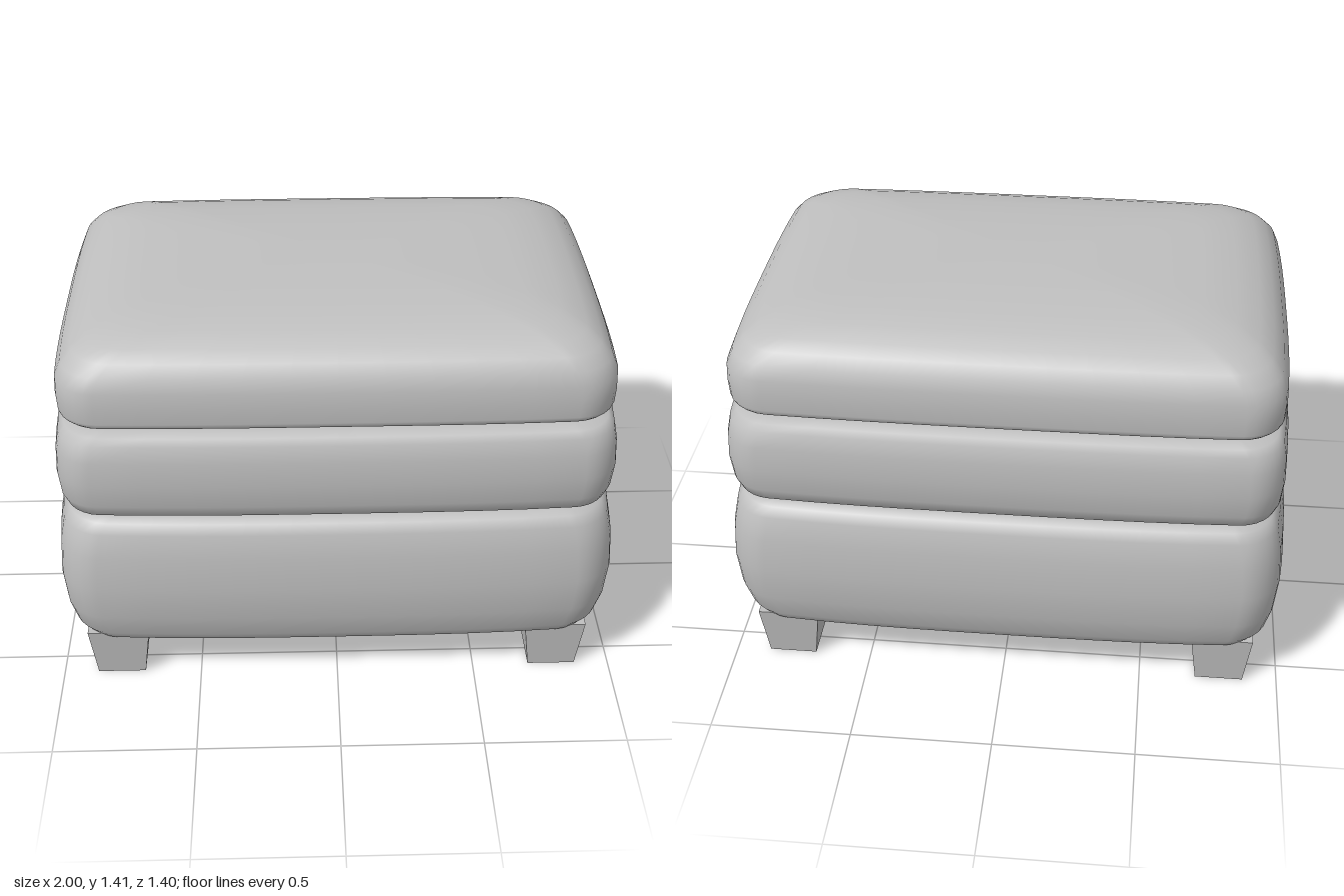
import * as THREE from 'three';

const upholstery = new THREE.MeshStandardMaterial({ color: 0xbfbfbf });
upholstery.name = 'grey upholstery';

// Rounded rectangle in plan whose sides bow outward; returns [x, z] pairs.
function cushionOutline(hx, hz, radius, bow) {
  const r = Math.min(radius, hx * 0.3, hz * 0.3);
  const points = [];
  const arc = 6, side = 10;
  const corners = [[1, 1], [-1, 1], [-1, -1], [1, -1]];
  corners.forEach(([sx, sz], q) => {
    const cx = sx * (hx - r), cz = sz * (hz - r);
    for (let i = 0; i <= arc; i++) {
      const a = (q + i / arc) * Math.PI / 2;
      points.push([cx + r * Math.cos(a), cz + r * Math.sin(a)]);
    }
    // straight run to the start of the next corner
    const [nx, nz] = corners[(q + 1) % 4];
    const [px, pz] = points[points.length - 1];
    const a = (q + 1) * Math.PI / 2;
    const ex = nx * (hx - r) + r * Math.cos(a), ez = nz * (hz - r) + r * Math.sin(a);
    for (let i = 1; i < side; i++) {
      points.push([px + (ex - px) * i / side, pz + (ez - pz) * i / side]);
    }
  });
  return points.map(([x, z]) => [
    x * (1 - bow * Math.abs(z / hz) ** 3),
    z * (1 - bow * Math.abs(x / hx) ** 3),
  ]);
}

// Skin a cushion through horizontal rings of [y, half width, half depth].
function cushion(name, rings, radius, bow) {
  const positions = [], index = [];
  let n = 0;
  for (const [y, hx, hz] of rings) {
    const outline = cushionOutline(hx, hz, radius, bow);
    n = outline.length;
    for (const [x, z] of outline) positions.push(x, y, z);
  }
  for (let i = 0; i < rings.length - 1; i++) {
    for (let j = 0; j < n; j++) {
      const a = i * n + j, b = i * n + (j + 1) % n;
      index.push(a, a + n, b, b, a + n, b + n);
    }
  }
  // close the bottom and the top
  const bottom = positions.length / 3, top = bottom + 1, last = (rings.length - 1) * n;
  positions.push(0, rings[0][0], 0, 0, rings[rings.length - 1][0], 0);
  for (let j = 0; j < n; j++) {
    const k = (j + 1) % n;
    index.push(bottom, j, k, top, last + k, last + j);
  }
  const geometry = new THREE.BufferGeometry();
  geometry.setAttribute('position', new THREE.Float32BufferAttribute(positions, 3));
  geometry.setIndex(index);
  geometry.computeVertexNormals();
  const mesh = new THREE.Mesh(geometry, upholstery);
  mesh.name = name;
  return mesh;
}

// Square block that tapers toward the floor.
function leg(name, x, z) {
  const geometry = new THREE.BoxGeometry(0.22, 0.2, 0.22);
  const p = geometry.attributes.position;
  for (let i = 0; i < p.count; i++) {
    if (p.getY(i) < 0) p.setXYZ(i, p.getX(i) * 0.78, p.getY(i), p.getZ(i) * 0.78);
  }
  const flat = geometry.toNonIndexed();
  flat.computeVertexNormals();
  const mesh = new THREE.Mesh(flat, upholstery);
  mesh.name = name;
  mesh.position.set(x, 0.1, z);
  return mesh;
}

export function createModel() {
  const model = new THREE.Group();
  model.name = 'footstool';

  // deep upholstered base with a flat underside
  model.add(cushion('baseCushion', [
    [0.176, 0.5, 0.3], [0.176, 0.9, 0.59], [0.178, 0.925, 0.615], [0.19, 0.945, 0.64],
    [0.225, 0.968, 0.66], [0.32, 0.988, 0.69], [0.45, 1.0, 0.7], [0.58, 0.992, 0.693],
    [0.67, 0.975, 0.675], [0.705, 0.955, 0.655], [0.718, 0.925, 0.625], [0.722, 0.87, 0.57],
    [0.722, 0.5, 0.3],
  ], 0.12, 0.045));

  // slimmer middle cushion
  model.add(cushion('middleCushion', [
    [0.722, 0.5, 0.3], [0.722, 0.87, 0.57], [0.727, 0.925, 0.625], [0.745, 0.952, 0.655],
    [0.79, 0.967, 0.672], [0.88, 0.975, 0.685], [0.97, 0.971, 0.68], [1.03, 0.96, 0.668],
    [1.052, 0.94, 0.65], [1.062, 0.9, 0.61], [1.065, 0.85, 0.56], [1.065, 0.5, 0.3],
  ], 0.11, 0.035));

  // domed seat cushion with a bevelled lower edge
  model.add(cushion('seatCushion', [
    [1.062, 0.5, 0.3], [1.062, 0.86, 0.57], [1.068, 0.9, 0.605], [1.094, 0.938, 0.65],
    [1.102, 0.944, 0.656], [1.115, 0.948, 0.66], [1.17, 0.951, 0.663], [1.23, 0.949, 0.66],
    [1.28, 0.928, 0.646], [1.32, 0.893, 0.618], [1.35, 0.845, 0.576], [1.378, 0.765, 0.505],
    [1.395, 0.65, 0.41], [1.406, 0.46, 0.28], [1.412, 0.22, 0.13],
  ], 0.13, 0.025));

  // four legs
  for (const [side, x] of [['Left', 0.79], ['Right', -0.79]]) {
    model.add(leg('front' + side + 'Leg', x, 0.5));
    model.add(leg('back' + side + 'Leg', x, -0.5));
  }
  return model;
}
